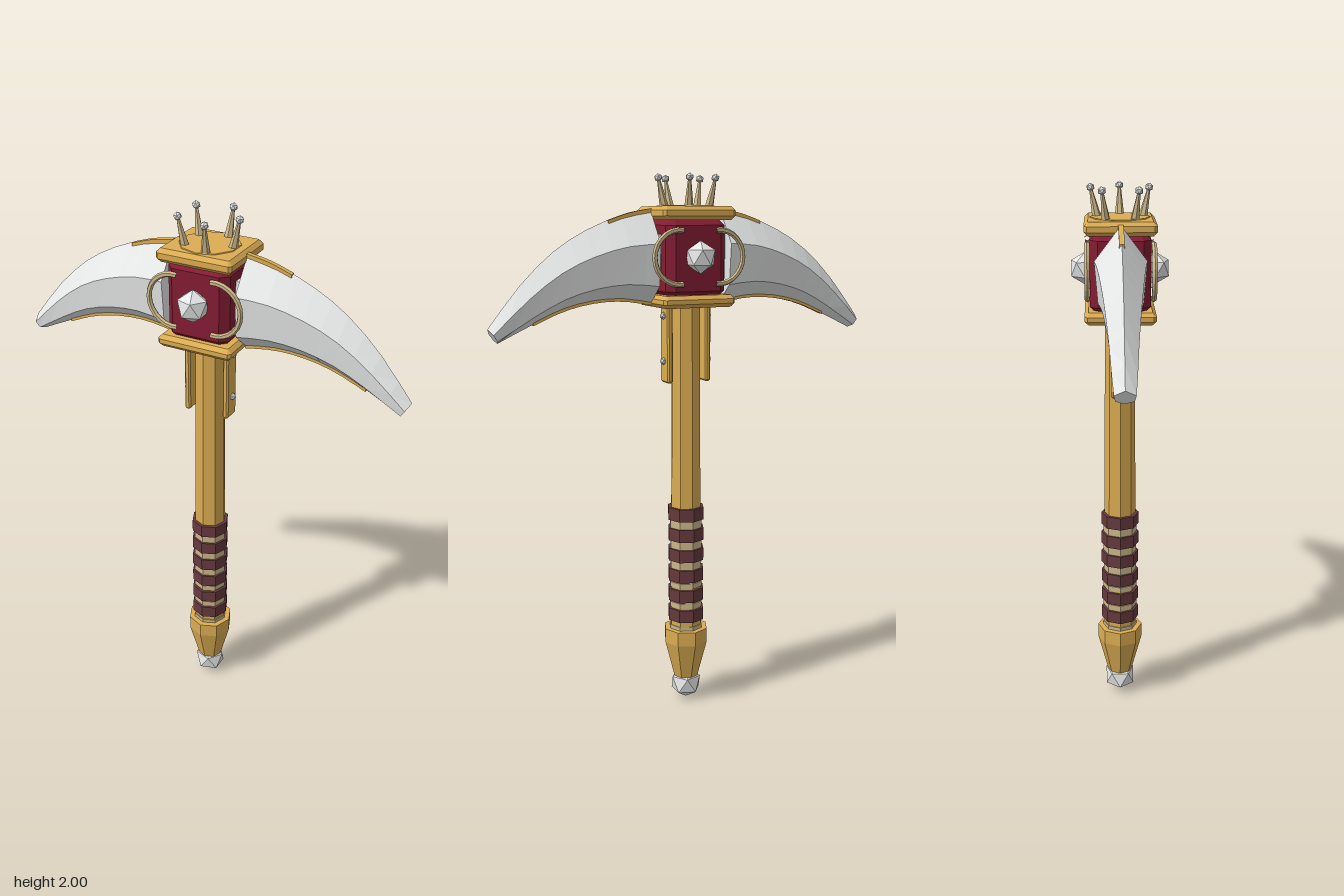
import * as THREE from 'three';

const mat = (name, color) => Object.assign(new THREE.MeshStandardMaterial({ color }), { name });

export function createModel() {
  const gold = mat('gold', 0xdcad52);
  const silver = mat('silver', 0xe8e9e9);
  const maroon = mat('maroon', 0x821c32);
  const leather = mat('leather', 0x663a3e);
  const rope = mat('rope', 0xccb88a);

  const model = new THREE.Group();
  model.name = 'pickaxe';

  // Adds a faceted mesh
  function add(parent, name, geo, material, x = 0, y = 0, z = 0) {
    const g = geo.index ? geo.toNonIndexed() : geo;
    g.computeVertexNormals();
    const mesh = new THREE.Mesh(g, material);
    mesh.name = name;
    mesh.position.set(x, y, z);
    parent.add(mesh);
    return mesh;
  }

  const octagon = (rTop, rBottom, h) => new THREE.CylinderGeometry(rTop, rBottom, h, 8);

  // Twenty-sided gem standing on one corner
  const gem = r => new THREE.IcosahedronGeometry(r).rotateZ(-0.5536);

  // Centred box with chamfered top and bottom edges (b) and cut upright corners (c)
  function chamferBox(w, h, d, b, c) {
    const x = w / 2 - b, y = d / 2 - b;
    const corners = [[c - x, -y], [x - c, -y], [x, c - y], [x, y - c], [x - c, y], [c - x, y], [-x, y - c], [-x, c - y]];
    const g = new THREE.ExtrudeGeometry(new THREE.Shape(corners.map(p => new THREE.Vector2(...p))), {
      depth: h - 2 * b, bevelEnabled: true, bevelSize: b, bevelThickness: b, bevelSegments: 1,
    });
    return g.translate(0, 0, b - h / 2).rotateX(-Math.PI / 2);
  }

  const spline = (points, n) =>
    new THREE.SplineCurve(points.map(p => new THREE.Vector2(...p))).getPoints(n);

  // Thin band that follows a curve in the xy plane
  function edgeBand(points, low, high, depth) {
    const line = spline(points, 10);
    const s = new THREE.Shape([
      ...line.map(p => new THREE.Vector2(p.x, p.y + low)),
      ...line.reverse().map(p => new THREE.Vector2(p.x, p.y + high)),
    ]);
    return new THREE.ExtrudeGeometry(s, { depth, bevelEnabled: false }).translate(0, 0, -depth / 2);
  }

  // Shaft and pommel
  add(model, 'shaft', octagon(0.054, 0.062, 1.3), gold, 0, 0.9);
  add(model, 'pommelCollar', octagon(0.086, 0.086, 0.055), gold, 0, 0.268);
  add(model, 'pommelTaper', octagon(0.086, 0.048, 0.145), gold, 0, 0.168);
  add(model, 'pommelGem', gem(0.063), silver, 0, 0.063);

  // Wrapped grip: tan sleeve above, tan cords below, leather wraps over both
  add(model, 'gripSleeve', octagon(0.063, 0.063, 0.26), rope, 0, 0.625);
  for (const y of [0.3, 0.395, 0.475]) {
    add(model, 'gripCord', octagon(0.065, 0.065, 0.02), rope, 0, y);
  }
  for (let i = 0; i < 6; i++) {
    add(model, 'gripWrap', octagon(0.071, 0.071, 0.048), leather, 0, 0.355 + i * 0.08);
  }

  // Head block between two plates
  add(model, 'headBlock', chamferBox(0.232, 0.27, 0.212, 0.02, 0.016), maroon, 0, 1.705);
  add(model, 'lowerPlate', chamferBox(0.28, 0.044, 0.25, 0.014, 0.002), gold, 0, 1.555);
  add(model, 'upperPlate', chamferBox(0.28, 0.048, 0.25, 0.014, 0.002), gold, 0, 1.862);
  add(model, 'crownBase', new THREE.CylinderGeometry(0.104, 0.106, 0.004, 10), gold, 0, 1.887);

  // Crown of five outward leaning spikes
  for (let i = 0; i < 5; i++) {
    const spike = new THREE.Group();
    spike.name = 'crownSpike';
    add(spike, 'spikeStem', new THREE.CylinderGeometry(0.005, 0.016, 0.1, 6), rope, 0, 0.05);
    add(spike, 'spikeTip', gem(0.015), silver, 0, 0.1);
    spike.rotation.z = -0.22;
    spike.position.set(0.085, 1.886, 0);
    const turn = new THREE.Group();
    turn.name = 'crownSpikeTurn';
    turn.rotation.y = (i * 2 * Math.PI) / 5;
    turn.add(spike);
    model.add(turn);
  }

  // Studs and curved guards on the front and back of the head
  for (const s of [-1, 1]) {
    add(model, 'faceStud', gem(0.058), silver, 0, 1.71, s * 0.122);
    for (const side of [-1, 1]) {
      const guard = add(model, 'curvedGuard', new THREE.TorusGeometry(0.094, 0.01, 6, 14, Math.PI * 1.1),
        rope, side * 0.078, 1.71, s * 0.115);
      guard.rotation.z = side > 0 ? -Math.PI * 0.55 : Math.PI * 0.45;
    }
  }

  // Blade outlines
  const topEdge = [[0.138, 1.876], [0.25, 1.854], [0.38, 1.804], [0.5, 1.732], [0.62, 1.622], [0.738, 1.478]];
  const bottomEdge = [[0.138, 1.543], [0.25, 1.56], [0.36, 1.556], [0.47, 1.532], [0.58, 1.487], [0.706, 1.428]];

  // Six-sided blade section: ridge, broad shoulders, lower edges, keel
  function bladeGeometry() {
    const section = [[1, 0], [0.64, 1], [0.2, 0.86], [0, 0], [0.2, -0.86], [0.64, -1]];
    const steps = 10, n = section.length, pos = [], idx = [];
    const top = spline(topEdge, steps), bottom = spline(bottomEdge, steps);
    for (let i = 0; i <= steps; i++) {
      const w = THREE.MathUtils.lerp(0.091, 0.034, i / steps);
      for (const [t, z] of section) {
        const p = bottom[i].clone().lerp(top[i], t);
        pos.push(p.x, p.y, z * w);
      }
    }
    for (let i = 0; i < steps; i++) {
      for (let j = 0; j < n; j++) {
        const a = i * n + j, b = i * n + (j + 1) % n;
        idx.push(a, b, a + n, b, b + n, a + n);
      }
    }
    const end = steps * n;
    for (let j = 1; j < n - 1; j++) {
      idx.push(0, j + 1, j, end, end + j, end + j + 1);
    }
    const g = new THREE.BufferGeometry();
    g.setAttribute('position', new THREE.Float32BufferAttribute(pos, 3));
    g.setIndex(idx);
    return g;
  }

  // Each side: blade, tang, edge trims, strap and rivets
  for (const side of ['left', 'right']) {
    const half = new THREE.Group();
    half.name = side + 'Side';
    if (side === 'right') half.rotation.y = Math.PI;
    add(half, 'blade', bladeGeometry(), silver);
    add(half, 'tang', new THREE.BoxGeometry(0.05, 0.16, 0.08), silver, 0.125, 1.71);
    add(half, 'upperTrim', edgeBand([[0.138, 1.876], [0.22, 1.861], [0.3, 1.835]], -0.012, 0.002, 0.018), gold);
    add(half, 'lowerTrim', edgeBand(bottomEdge.slice(0, 5), -0.004, 0.008, 0.016), gold);
    add(half, 'strap', chamferBox(0.022, 0.3, 0.066, 0.006, 0.002), gold, 0.076, 1.405);
    for (const y of [1.335, 1.5]) {
      add(half, 'rivet', gem(0.014), silver, 0.089, y);
    }
    model.add(half);
  }

  return model;
}
